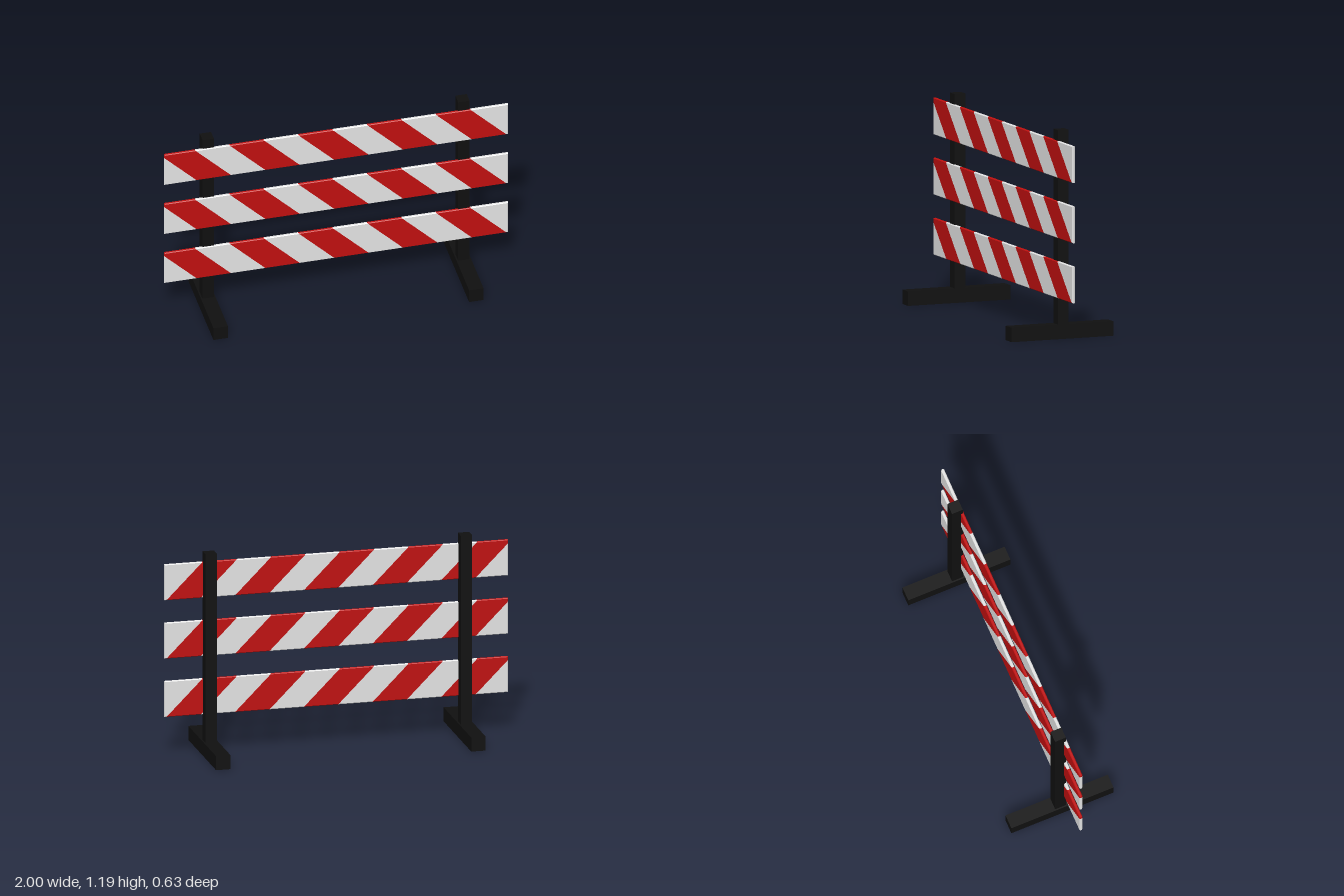
import * as THREE from 'three';
import { ConvexGeometry } from 'three/addons/geometries/ConvexGeometry.js';

const white = new THREE.MeshStandardMaterial({ name: 'white paint', color: 0xe6e6e6 });
const red = new THREE.MeshStandardMaterial({ name: 'red paint', color: 0xc21010 });
const black = new THREE.MeshStandardMaterial({ name: 'black frame', color: 0x101010 });

const BOARD = { height: 0.21, back: 0.014, front: 0.032, bevel: 0.004 };
const STRIPE = { start: -1.02, width: 0.2, slant: 0.21, count: 5 };

function box(name, w, h, d, x, y, z) {
  const mesh = new THREE.Mesh(new THREE.BoxGeometry(w, h, d), black);
  mesh.name = name;
  mesh.position.set(x, y, z);
  return mesh;
}

// Keep the part of a convex polygon where side(p) >= 0
function clip(poly, side) {
  const out = [];
  poly.forEach((a, i) => {
    const b = poly[(i + 1) % poly.length];
    const da = side(a), db = side(b);
    if (da >= 0) out.push(a);
    if (da * db < 0) out.push(a.clone().lerp(b, da / (da - db)));
  });
  return out;
}

// Board outline, inset by an amount, between two slanted cuts
function outline(inset, from, to) {
  const w = 1 - inset, h = BOARD.height / 2 - inset;
  const rect = [[-w, -h], [w, -h], [w, h], [-w, h]].map(([x, y]) => new THREE.Vector2(x, y));
  // x of a point slid along the slant up to the top edge
  const topX = (p) => p.x - STRIPE.slant * (0.5 - p.y / BOARD.height);
  return clip(clip(rect, (p) => topX(p) - from), (p) => to - topX(p));
}

// One solid slanted piece of a board with bevelled outer edges
function boardPiece(from, to) {
  const { back, front, bevel } = BOARD;
  const face = outline(bevel, from, to), edge = outline(0, from, to);
  const at = (poly, z) => poly.map((p) => new THREE.Vector3(p.x, p.y, z));
  return new ConvexGeometry([
    ...at(face, back), ...at(edge, back + bevel),
    ...at(edge, front - bevel), ...at(face, front),
  ]);
}

function createBoard() {
  const board = new THREE.Group();
  const add = (name, from, to, material) => {
    const mesh = new THREE.Mesh(boardPiece(from, to), material);
    mesh.name = name;
    board.add(mesh);
  };
  const period = 2 * STRIPE.width;
  add('whiteCorner', -2, STRIPE.start, white);
  for (let i = 0; i < STRIPE.count; i++) {
    const start = STRIPE.start + i * period;
    const last = i === STRIPE.count - 1;
    add('redStripe', start, start + STRIPE.width, red);
    add('whiteStripe', start + STRIPE.width, last ? 2 : start + period, white);
  }
  return board;
}

export function createModel() {
  const model = new THREE.Group();
  model.name = 'roadBarrier';

  // Upright posts on long feet
  for (const [label, s] of [['left', 1], ['right', -1]]) {
    model.add(box(label + 'Foot', 0.084, 0.082, 0.626, s * 0.743, 0.041, 0));
    model.add(box(label + 'Post', 0.066, 1.11, 0.066, s * 0.743, 0.635, -0.008));
  }

  // Three striped boards
  ['lowerBoard', 'middleBoard', 'upperBoard'].forEach((name, i) => {
    const board = createBoard();
    board.name = name;
    board.position.y = 0.339 + i * 0.343;
    model.add(board);
  });
  return model;
}
